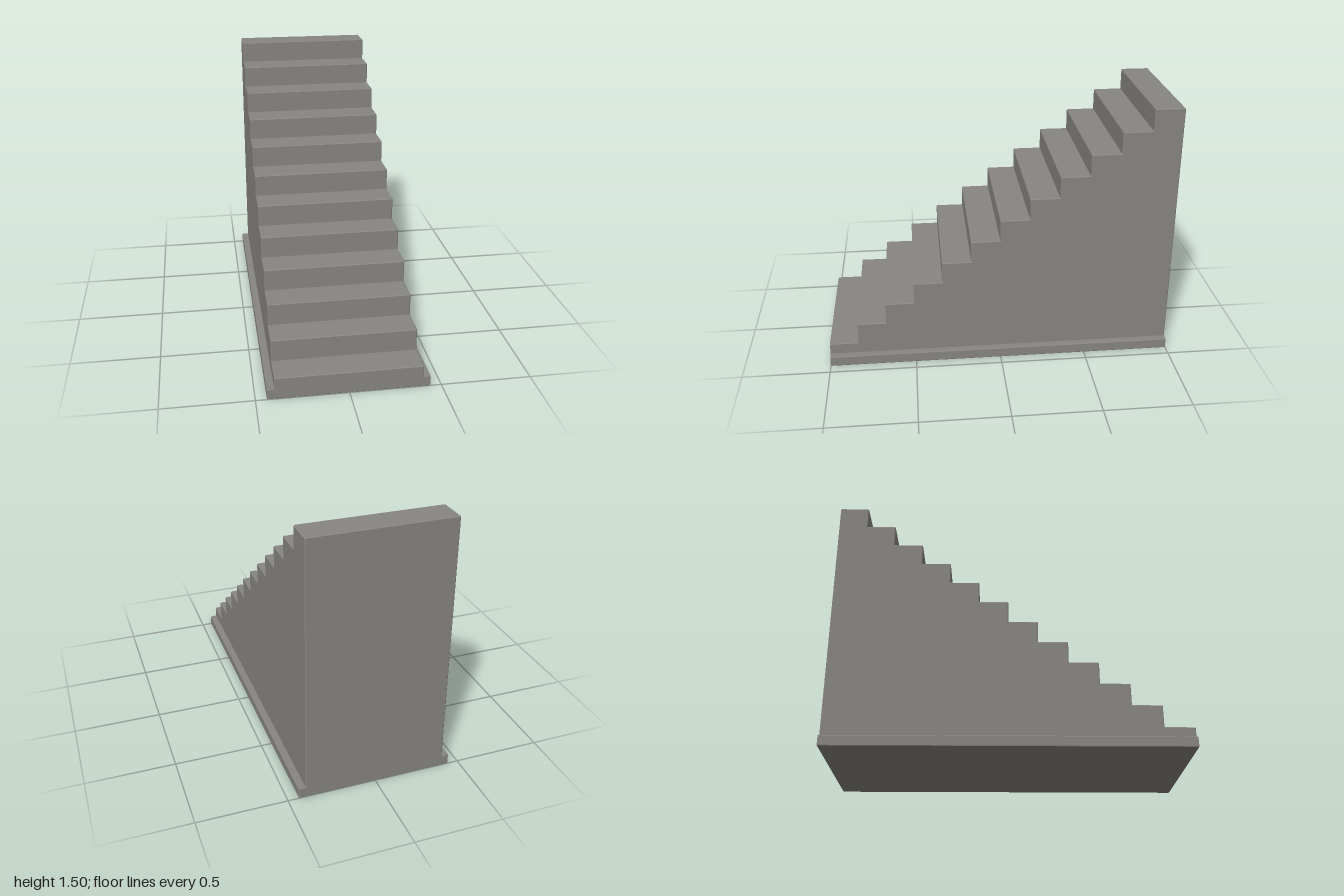
import * as THREE from 'three';
import { RoundedBoxGeometry } from 'three/addons/geometries/RoundedBoxGeometry.js';

const STEPS = 12, RISE = 0.125, RUN = 2 / STEPS;
const WIDTH = 0.8, PLINTH_W = 0.88, PLINTH_H = 0.06;
const EDGE = 0.004; // small chamfer on outer edges

export function createModel() {
  const group = new THREE.Group();
  group.name = 'staircase';
  const material = new THREE.MeshStandardMaterial({ color: 0x888683, flatShading: true });

  // Solid flight: stepped side profile with chamfered nosings, extruded across the width
  const profile = new THREE.Shape();
  profile.moveTo(-1, PLINTH_H / 2);
  profile.lineTo(1, PLINTH_H / 2);
  profile.lineTo(1, STEPS * RISE - EDGE);
  profile.lineTo(1 - EDGE, STEPS * RISE);
  for (let i = STEPS - 1; i >= 0; i--) {
    const riser = -1 + i * RUN, tread = (i + 1) * RISE;
    profile.lineTo(riser + EDGE, tread);
    profile.lineTo(riser, tread - EDGE);
    if (i > 0) profile.lineTo(riser, tread - RISE);
  }
  profile.closePath();
  const flightGeometry = new THREE.ExtrudeGeometry(profile, {
    depth: WIDTH - 2 * EDGE,
    bevelThickness: EDGE, bevelSize: EDGE, bevelOffset: -EDGE, bevelSegments: 1,
  });
  flightGeometry.translate(0, 0, EDGE - WIDTH / 2);
  flightGeometry.rotateY(Math.PI / 2);
  const flight = new THREE.Mesh(flightGeometry, material);
  flight.name = 'stepFlight';
  group.add(flight);

  // Low plinth, slightly wider than the flight
  const plinth = new THREE.Mesh(new RoundedBoxGeometry(PLINTH_W, PLINTH_H, 2, 1, EDGE), material);
  plinth.name = 'plinth';
  plinth.position.y = PLINTH_H / 2;
  group.add(plinth);
  return group;
}
